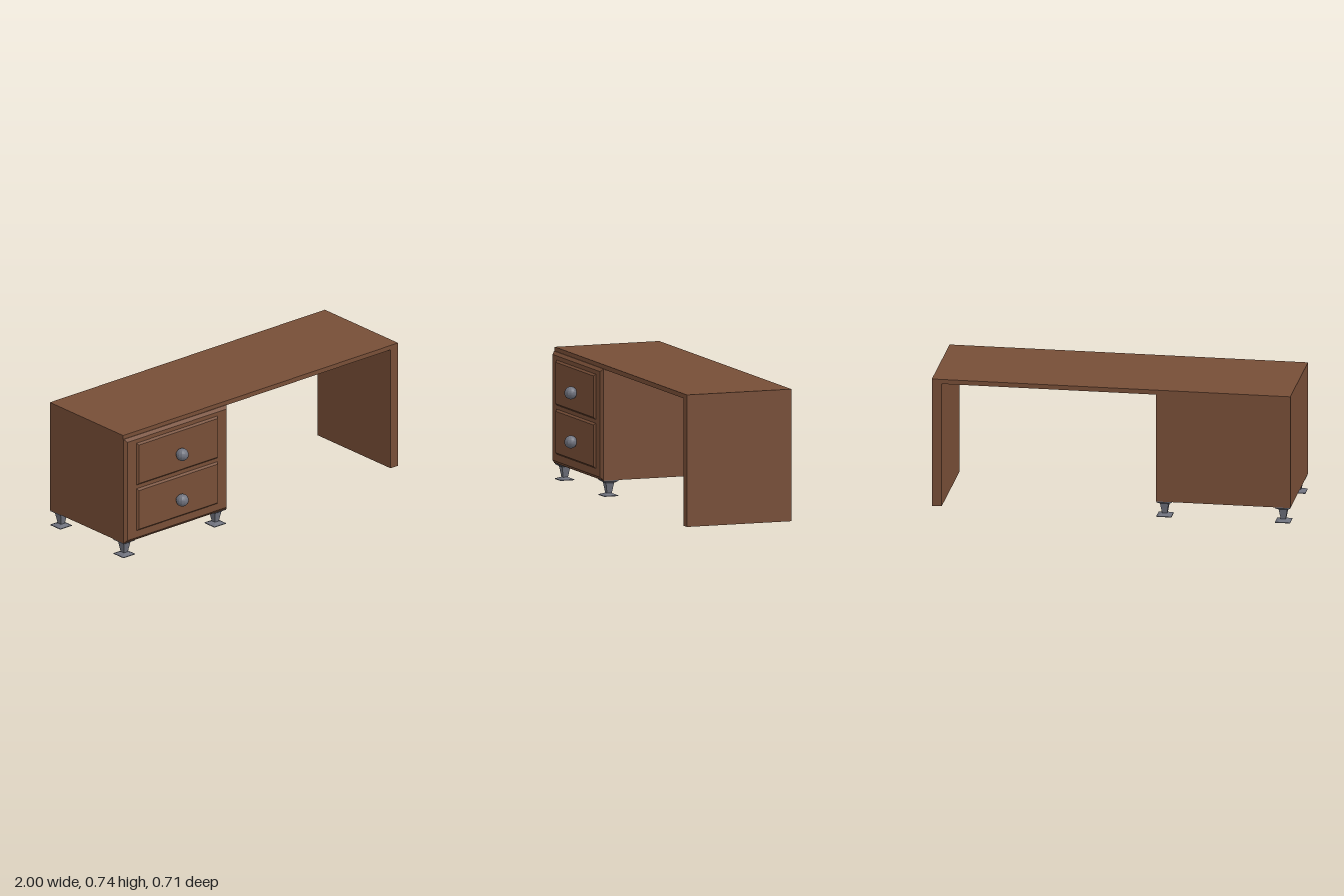
import * as THREE from 'three';

const wood = new THREE.MeshStandardMaterial({ color: 0x774e37 });
wood.name = 'brown wood';
const metal = new THREE.MeshStandardMaterial({ color: 0x6f727d, flatShading: true });
metal.name = 'grey metal';

// Box from min/max bounds; the front face may be inset to make a chamfered panel
function block(name, [x0, x1], [y0, y1], [z0, z1], inset = 0) {
  const w = x1 - x0, h = y1 - y0, d = z1 - z0;
  let geo = new THREE.BoxGeometry(w, h, d);
  if (inset) {
    const p = geo.attributes.position;
    for (let i = 0; i < p.count; i++) {
      if (p.getZ(i) > 0) {
        p.setX(i, p.getX(i) * (1 - 2 * inset / w));
        p.setY(i, p.getY(i) * (1 - 2 * inset / h));
      }
    }
    geo = geo.toNonIndexed();
    geo.computeVertexNormals();
  }
  const mesh = new THREE.Mesh(geo, wood);
  mesh.name = name;
  mesh.position.set((x0 + x1) / 2, (y0 + y1) / 2, (z0 + z1) / 2);
  return mesh;
}

export function createModel() {
  const desk = new THREE.Group();
  desk.name = 'desk';
  const back = -0.354, front = 0.264;

  // Main carcass
  desk.add(
    block('desktop', [-1, 1], [0.709, 0.735], [back, front]),
    block('sidePanel', [0.945, 1], [0, 0.709], [back, front]),
    block('cabinet', [-1, -0.25], [0.09, 0.709], [back, front]),
    block('frontPanelBase', [-1, -0.25], [0.09, 0.712], [front, 0.268]),
    block('frontPanel', [-1, -0.25], [0.092, 0.712], [0.268, 0.283], 0.016)
  );

  // Drawer fronts with round knobs
  const knobGeo = new THREE.SphereGeometry(0.0355, 12, 14).rotateY(Math.PI / 12);
  for (const [y0, y1, knobY] of [[0.149, 0.4, 0.26], [0.422, 0.673, 0.533]]) {
    desk.add(block('drawerFront', [-0.92, -0.33], [y0, y1], [0.283, 0.294], 0.01));
    const knob = new THREE.Mesh(knobGeo, metal);
    knob.name = 'drawerKnob';
    knob.position.set(-0.617, knobY, 0.319);
    desk.add(knob);
  }

  // Square turned feet: half-width and height pairs from the pad upward
  const profile = [[0, 0], [0.042, 0], [0.042, 0.004], [0.014, 0.015], [0.024, 0.073],
    [0.042, 0.084], [0.042, 0.092], [0, 0.092]]
    .map(([half, y]) => new THREE.Vector2(half * Math.SQRT2, y));
  const footGeo = new THREE.LatheGeometry(profile, 4, Math.PI / 4);
  for (const x of [-0.956, -0.294]) {
    for (const z of [back + 0.044, front - 0.042]) {
      const foot = new THREE.Mesh(footGeo, metal);
      foot.name = 'foot';
      foot.position.set(x, 0, z);
      desk.add(foot);
    }
  }
  return desk;
}
